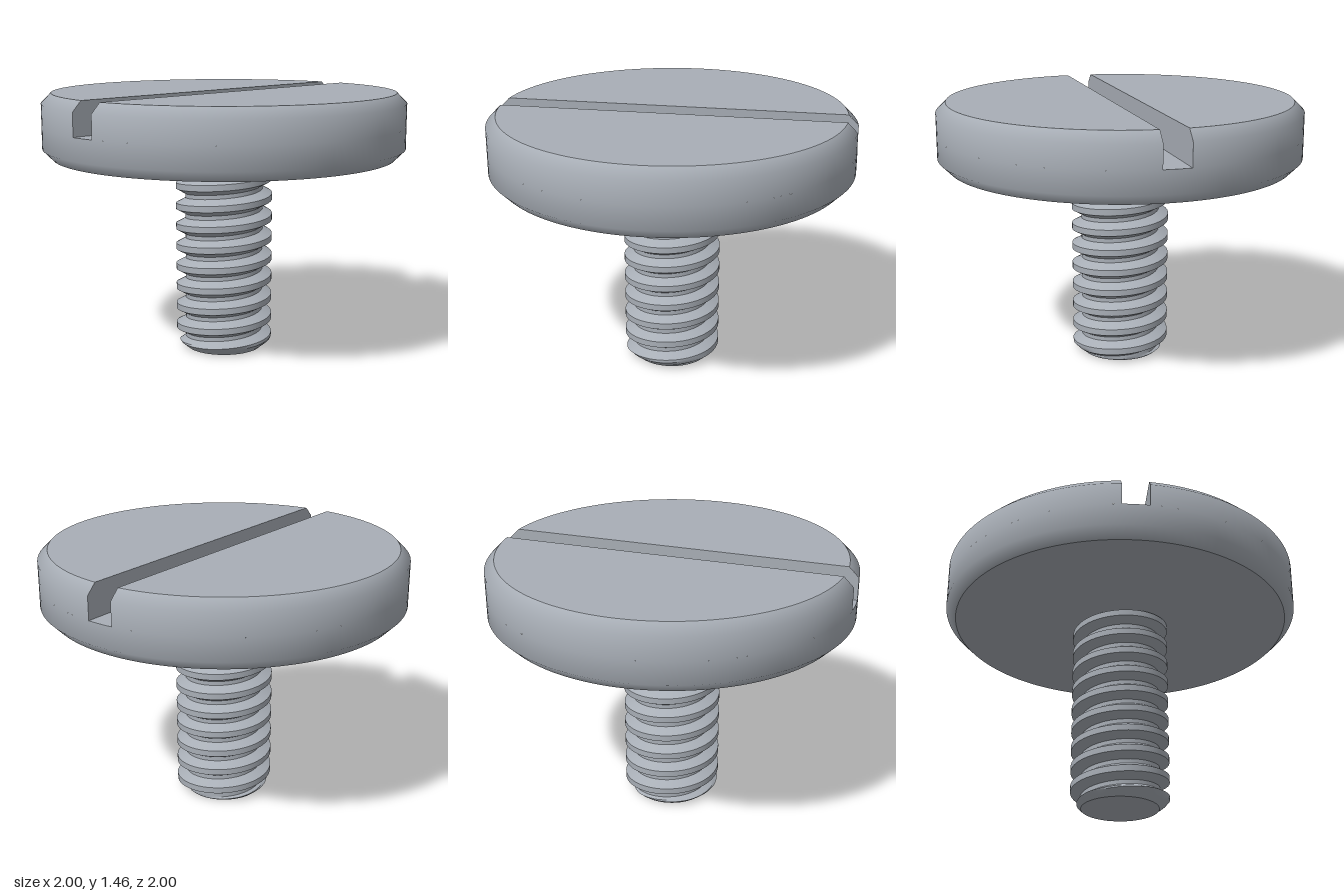
import * as THREE from 'three';
import { toCreasedNormals } from 'three/addons/utils/BufferGeometryUtils.js';

const R = 1, RIM = 0.945;                       // head radius, radius of its flat faces
const Y0 = 1.098, FLOOR = 1.275, Y1 = 1.455;    // underside, slot floor, top
const CH = 0.055, W = 0.073;                    // chamfer, half slot width
const PITCH = 0.115, CREST = 0.27, ROOT = 0.217;

const v2 = (x, y) => new THREE.Vector2(x, y);

// Shank radius at height y and angle t: helical trapezoid, chamfered at the tip
function threadRadius(y, t) {
  let u = (y - 0.05) / PITCH - (t - Math.PI / 2) / (2 * Math.PI);
  u = Math.abs(u - Math.round(u));              // distance from the crest, in pitches
  const k = THREE.MathUtils.clamp((u - 0.15) / 0.25, 0, 1);
  return Math.min(THREE.MathUtils.lerp(CREST, ROOT, k), 0.212 + y * 1.2);
}

// Grid whose rows follow the helix, trimmed to the shank's length
function threadGeometry() {
  const stops = [-0.15, 0, 0.15, 0.233, 0.317, 0.4, 0.5, 0.6, 0.683, 0.767];
  const N = 72, rows = [];
  for (let k = -2; k <= 11; k++) for (const s of stops) rows.push(k + s);
  const point = (i, j) => {
    const t = (i / N) * 2 * Math.PI;
    const y = THREE.MathUtils.clamp(0.05 + PITCH * (rows[j] + i / N - 0.25), 0, Y0);
    const r = threadRadius(y, t);
    return new THREE.Vector3(r * Math.sin(t), y, r * Math.cos(t));
  };
  const pos = [];
  const tri = (a, b, c) => {
    if (new THREE.Triangle(a, b, c).getArea() < 1e-8) return;
    for (const p of [a, b, c]) pos.push(p.x, p.y, p.z);
  };
  for (let i = 0; i < N; i++) {
    for (let j = 0; j < rows.length - 1; j++) {
      const a = point(i, j), b = point(i + 1, j), c = point(i + 1, j + 1), d = point(i, j + 1);
      tri(a, b, c);
      tri(a, c, d);
    }
  }
  const g = new THREE.BufferGeometry();
  g.setAttribute('position', new THREE.Float32BufferAttribute(pos, 3));
  return toCreasedNormals(g, 0.6);
}

export function createModel() {
  const model = new THREE.Group();
  model.name = 'slottedScrew';
  const steel = new THREE.MeshStandardMaterial({ color: 0xa8aeb6 });
  steel.name = 'steel';
  const add = (parent, name, geometry) => {
    const m = new THREE.Mesh(geometry, steel);
    m.name = name;
    parent.add(m);
    return m;
  };

  // Threaded shank
  const shank = new THREE.Group();
  shank.name = 'shank';
  model.add(shank);
  add(shank, 'thread', threadGeometry());
  add(shank, 'tip', new THREE.CircleGeometry(0.212, 72).rotateX(Math.PI / 2));

  // Lower head, up to the slot floor
  const head = new THREE.Group();
  head.name = 'head';
  model.add(head);
  add(head, 'lowerRim', new THREE.LatheGeometry(
    [v2(RIM, Y0), v2(R, Y0 + CH), v2(R, FLOOR)], 128));
  add(head, 'underside', new THREE.CircleGeometry(RIM, 128).rotateX(Math.PI / 2).translate(0, Y0, 0));

  // Slot floor, a strip with rounded ends
  const a = Math.asin(W / R);
  const strip = new THREE.Shape();
  strip.absarc(0, 0, R, Math.PI / 2 - a, Math.PI / 2 + a);
  strip.absarc(0, 0, R, -Math.PI / 2 - a, -Math.PI / 2 + a);
  add(head, 'slotFloor', new THREE.ShapeGeometry(strip, 8).rotateX(-Math.PI / 2).translate(0, FLOOR, 0));

  // Two upper halves either side of the slot
  const rim = new THREE.LatheGeometry(
    [v2(R, FLOOR), v2(R, Y1 - CH), v2(RIM, Y1)], 64, a, Math.PI - 2 * a);
  const p = rim.attributes.position;
  for (let i = 0; i < p.count; i++) p.setX(i, Math.max(p.getX(i), W));

  const b = Math.acos(W / RIM);
  const segment = new THREE.Shape();
  segment.absarc(0, 0, RIM, -b, b);
  const top = new THREE.ShapeGeometry(segment, 64).rotateX(-Math.PI / 2).translate(0, Y1, 0);

  const zo = Math.sqrt(R * R - W * W), zi = Math.sqrt(RIM * RIM - W * W);
  const wall = new THREE.ShapeGeometry(new THREE.Shape([
    v2(-zo, FLOOR), v2(zo, FLOOR), v2(zo, Y1 - CH), v2(zi, Y1), v2(-zi, Y1), v2(-zo, Y1 - CH),
  ])).rotateY(-Math.PI / 2).translate(W, 0, 0);

  for (const side of ['left', 'right']) {
    const half = new THREE.Group();
    half.name = side + 'HeadHalf';
    half.rotation.y = side === 'left' ? 0 : Math.PI;
    head.add(half);
    add(half, 'upperRim', rim);
    add(half, 'topFace', top);
    add(half, 'slotWall', wall);
  }
  return model;
}
